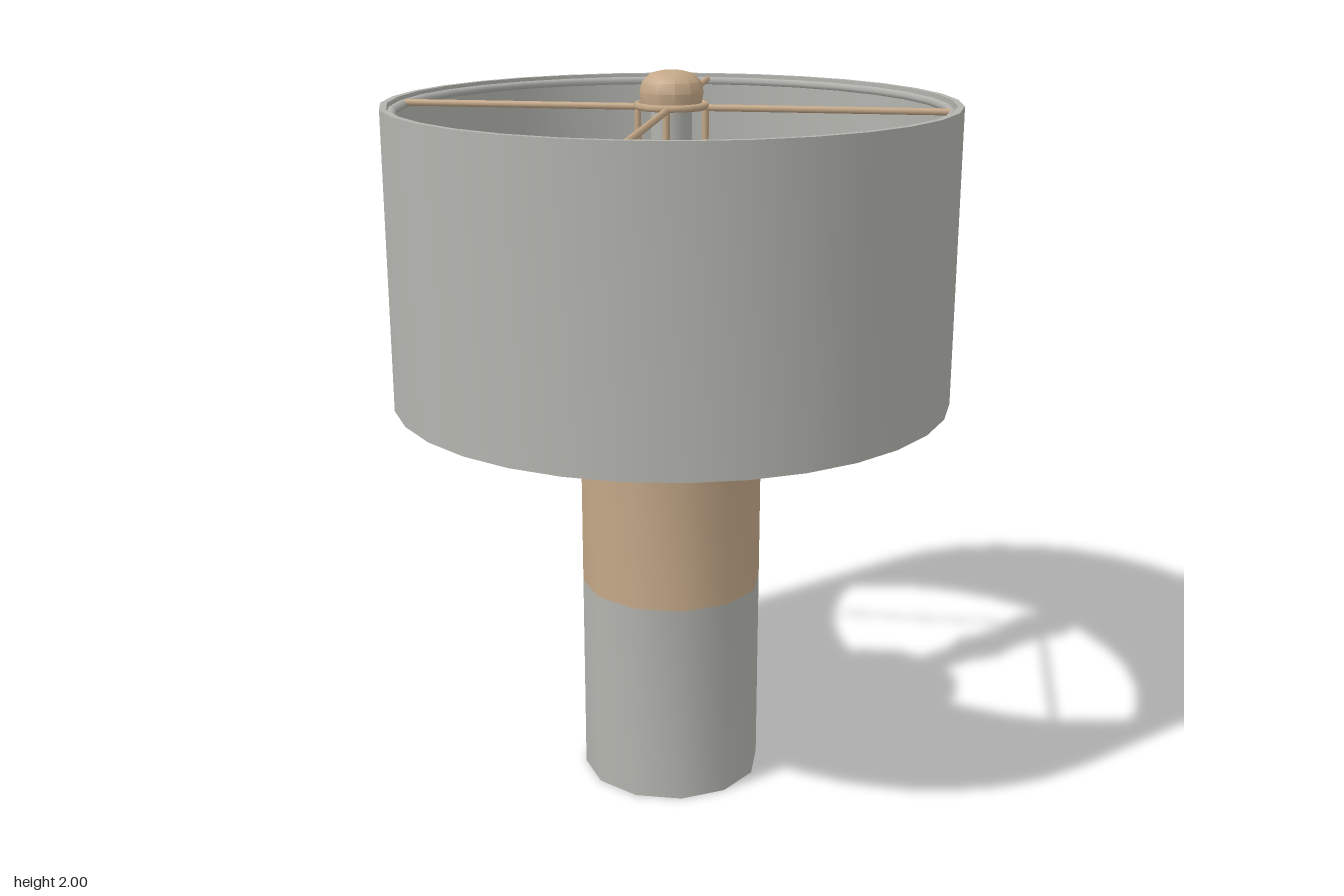
import * as THREE from 'three';
import { toCreasedNormals } from 'three/addons/utils/BufferGeometryUtils.js';

const grey = new THREE.MeshStandardMaterial({ color: 0xb4b4af });
grey.name = 'warmGrey';
const tan = new THREE.MeshStandardMaterial({ color: 0xc4a888 });
tan.name = 'brushedTan';

export function createModel() {
  const lamp = new THREE.Group();
  lamp.name = 'tableLamp';

  function add(name, geometry, material, parent = lamp) {
    const mesh = new THREE.Mesh(geometry, material);
    mesh.name = name;
    parent.add(mesh);
    return mesh;
  }
  // Turned part from [radius, y] pairs, bottom to top along the outside
  function turned(profile, sides, turn = 0) {
    const points = profile.map(([r, y]) => new THREE.Vector2(r, y));
    const geometry = new THREE.LatheGeometry(points, sides).rotateY(turn);
    return toCreasedNormals(geometry, 0.6);
  }
  function ring(radius, tube, y, sides) {
    return new THREE.TorusGeometry(radius, tube, 6, sides).rotateX(Math.PI / 2).translate(0, y, 0);
  }
  const half = Math.PI / 12;

  // Two-tone twelve-sided base
  add('lowerBase', turned([[0, 0], [0.253, 0], [0.253, 0.575]], 12, half), grey);
  add('upperBase', turned([[0.253, 0.575], [0.253, 1], [0, 1]], 12, half), tan);

  // Neck and the socket above it
  add('neck', turned([[0.057, 0.99], [0.057, 1.54], [0, 1.54]], 12, half), tan);
  add('socket', turned([[0, 1.54], [0.054, 1.54], [0.054, 1.92], [0, 1.92]], 12, half), grey);

  // Thin drum shade, open at both ends, with a wire ring inside the top
  add('shade', turned([[0.742, 1.125], [0.76, 1.125], [0.76, 1.92], [0.742, 1.92], [0.742, 1.125]], 32), grey);
  add('shadeRing', ring(0.731, 0.012, 1.9, 32), grey);

  // Four-armed holder with a hanging rod under each arm
  const holder = new THREE.Group();
  holder.name = 'shadeHolder';
  lamp.add(holder);
  add('hubRing', ring(0.092, 0.01, 1.91, 12), tan, holder);
  add('rodCollar', ring(0.082, 0.008, 1.55, 12), tan, holder);
  for (let i = 0; i < 4; i++) {
    const arm = new THREE.Group();
    arm.name = 'holderArm' + (i + 1);
    arm.rotation.y = i * Math.PI / 2;
    holder.add(arm);
    add('spoke', new THREE.CylinderGeometry(0.009, 0.009, 0.63, 8)
      .rotateZ(Math.PI / 2).translate(0.41, 1.905, 0), tan, arm);
    add('rod', new THREE.CylinderGeometry(0.009, 0.009, 0.37, 8).translate(0.09, 1.725, 0), tan, arm);
  }

  // Rounded finial
  add('finial', turned([
    [0, 1.915], [0.08, 1.915], [0.085, 1.945], [0.078, 1.972],
    [0.058, 1.992], [0.03, 1.999], [0, 2],
  ], 12, half), tan);

  return lamp;
}
